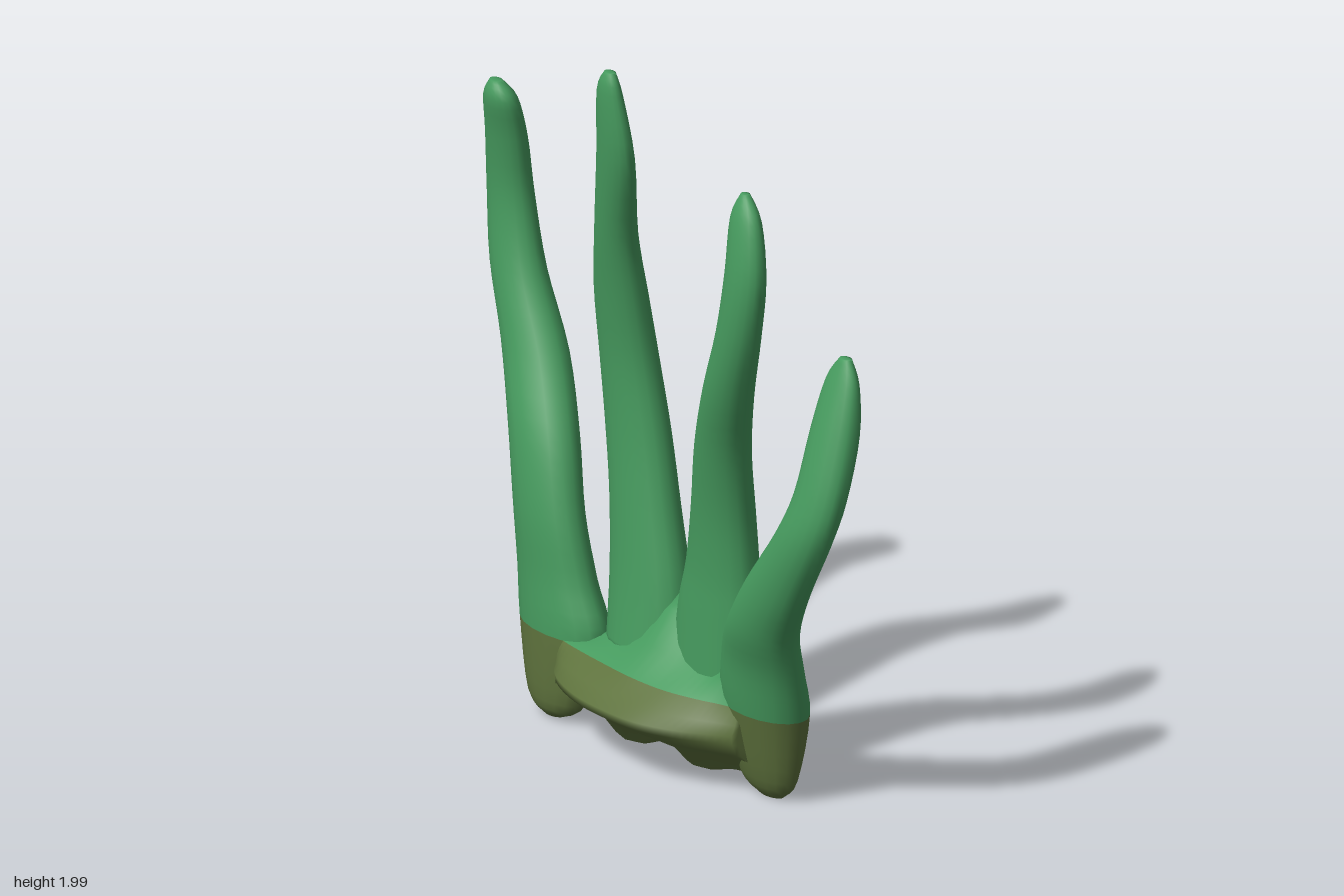
import * as THREE from 'three';

const SIDES = 18, STEPS = 4, BORDER = 0.27;

// Smooth rows between key rows (Catmull-Rom on every column)
function smoothRows(keys) {
  const rows = [], last = keys.length - 1;
  for (let i = 0; i <= last * STEPS; i++) {
    const k = Math.min(Math.floor(i / STEPS), last - 1), t = i / STEPS - k;
    const [p, a, b, n] = [keys[Math.max(k - 1, 0)], keys[k], keys[k + 1], keys[Math.min(k + 2, last)]];
    rows.push(a.map((v, c) => v + 0.5 * t * (b[c] - p[c]
      + t * (2 * p[c] - 5 * v + 4 * b[c] - n[c] + t * (3 * (v - b[c]) + n[c] - p[c])))));
  }
  return rows;
}

// Closed skin over rings of [x, y, z]; faces above the border take the second material
function skin(name, rings, materials) {
  const n = rings[0].length, points = rings.flat(), parts = [[], []];
  const face = (...ids) => {
    const y = ids.reduce((sum, id) => sum + points[id][1], 0) / ids.length;
    const part = parts[y > BORDER ? 1 : 0];
    for (let j = 1; j < ids.length - 1; j++) part.push(ids[0], ids[j], ids[j + 1]);
  };
  const first = rings[0].map((_, j) => j);
  const end = first.map((j) => points.length - 1 - j);
  face(...first);
  face(...end);
  for (let i = 0; i < rings.length - 1; i++) {
    for (let j = 0; j < n; j++) {
      const a = i * n + j, b = i * n + (j + 1) % n;
      face(a, a + n, b + n, b);
    }
  }
  const g = new THREE.BufferGeometry();
  g.setAttribute('position', new THREE.Float32BufferAttribute(points.flat(), 3));
  g.setIndex(parts.flat());
  g.addGroup(0, parts[0].length, 0);
  g.addGroup(parts[0].length, parts[1].length, 1);
  g.computeVertexNormals();
  const m = new THREE.Mesh(g, materials);
  m.name = name;
  return m;
}

// Keys are [y, xLeft, xRight, zCentre, zHalfDepth]
function tentacle(name, keys, materials) {
  const rings = smoothRows(keys).map(([y, l, r, z, d]) =>
    Array.from({ length: SIDES }, (_, j) => {
      const t = (j / SIDES) * Math.PI * 2;
      return [(l + r) / 2 + Math.cos(t) * (r - l) / 2, y, z + Math.sin(t) * d];
    }));
  return skin(name, rings, materials);
}

// Keys are [x, yBottom, yTop, zBottom, zTop, zBorderFront, zBorderBack, rimDepth]
function base(name, keys, materials) {
  const rings = smoothRows(keys).map(([x, yb, yt, zb, zt, front, back, d]) => {
    const side = (s, border) => {
      const foot = zb + s * 0.06;
      const under = s * Math.max(d * 0.72, s * zb + 0.07);
      const rim = s * Math.max(d, s * border);
      return [
        [x, yb + 0.015, zb + s * 0.035],
        [x, yb + 0.06, foot],
        [x, 0.135, under],
        [x, 0.17, rim * 0.97],
        [x, 0.195, rim],
        [x, 0.225, rim * 0.55 + border * 0.45],
        [x, BORDER, border],
        [x, BORDER + (yt - BORDER) * 0.35, zt + (border - zt) * 0.6],
        [x, BORDER + (yt - BORDER) * 0.8, zt + (border - zt) * 0.25],
      ];
    };
    return [[x, yb, zb], ...side(1, front), [x, yt, zt], ...side(-1, back).reverse()];
  });
  return skin(name, rings, materials);
}

export function createModel() {
  const green = new THREE.MeshStandardMaterial({ color: 0x469a5e });
  green.name = 'leaf green';
  const olive = new THREE.MeshStandardMaterial({ color: 0x5e723d });
  olive.name = 'olive base';
  const mats = [olive, green];
  const group = new THREE.Group();
  group.name = 'tentacles';

  group.add(tentacle('outerRightTentacle', [
    [0.015, -0.44, -0.36, 0.08, 0.025], [0.07, -0.51, -0.28, 0.075, 0.06],
    [0.27, -0.572, -0.22, 0.05, 0.09], [0.42, -0.585, -0.28, 0.05, 0.083],
    [0.6, -0.605, -0.34, 0.05, 0.08], [0.8, -0.67, -0.415, 0.018, 0.083],
    [1.0, -0.78, -0.54, -0.035, 0.08], [1.2, -0.87, -0.67, -0.056, 0.068],
    [1.4, -0.9, -0.73, -0.062, 0.056], [1.58, -0.88, -0.73, -0.04, 0.05],
    [1.7, -0.85, -0.73, -0.01, 0.042], [1.75, -0.82, -0.775, 0.0, 0.016],
  ], mats));

  group.add(tentacle('innerRightTentacle', [
    [0.27, -0.255, 0.06, -0.03, 0.105], [0.48, -0.27, 0.03, -0.045, 0.09],
    [0.7, -0.29, -0.03, -0.055, 0.08], [0.9, -0.32, -0.08, -0.06, 0.075],
    [1.1, -0.335, -0.12, -0.05, 0.07], [1.3, -0.32, -0.13, -0.02, 0.065],
    [1.5, -0.265, -0.12, 0.02, 0.055], [1.75, -0.205, -0.058, 0.065, 0.04],
    [1.94, -0.18, -0.083, 0.085, 0.028], [2.0, -0.15, -0.11, 0.085, 0.014],
  ], mats));

  group.add(tentacle('innerLeftTentacle', [
    [0.27, 0.02, 0.37, -0.05, 0.095], [0.48, 0.045, 0.365, -0.05, 0.085],
    [0.62, 0.085, 0.358, -0.05, 0.08], [0.8, 0.13, 0.36, -0.035, 0.075],
    [1.0, 0.195, 0.39, 0.0, 0.07], [1.2, 0.29, 0.46, 0.04, 0.065],
    [1.4, 0.375, 0.53, 0.06, 0.055], [1.58, 0.41, 0.56, 0.06, 0.048],
    [1.74, 0.408, 0.525, 0.045, 0.035], [1.81, 0.435, 0.465, 0.035, 0.012],
  ], mats));

  group.add(tentacle('outerLeftTentacle', [
    [0.01, 0.39, 0.49, -0.06, 0.025], [0.07, 0.31, 0.545, -0.058, 0.06],
    [0.27, 0.27, 0.598, -0.045, 0.095], [0.42, 0.31, 0.628, -0.01, 0.085],
    [0.55, 0.395, 0.67, 0.033, 0.078], [0.7, 0.51, 0.76, 0.058, 0.068],
    [0.88, 0.65, 0.86, 0.058, 0.064], [1.02, 0.71, 0.895, 0.03, 0.062],
    [1.2, 0.715, 0.888, -0.02, 0.058], [1.34, 0.73, 0.86, -0.05, 0.036],
    [1.41, 0.775, 0.82, -0.06, 0.014],
  ], mats));

  // Feet, rim and webbing that join the tentacles
  group.add(base('base', [
    [-0.4, 0.07, 0.32, 0.06, 0.04, 0.11, -0.02, 0.05],
    [-0.33, 0.08, 0.3, 0.06, 0.04, 0.12, -0.04, 0.13],
    [-0.24, 0.085, 0.295, 0.04, 0.02, 0.13, -0.1, 0.19],
    [-0.1, 0.01, 0.36, 0.02, -0.02, 0.135, -0.14, 0.228],
    [0.04, 0.05, 0.49, -0.01, -0.045, 0.135, -0.148, 0.232],
    [0.17, 0.01, 0.42, -0.02, -0.05, 0.12, -0.15, 0.215],
    [0.28, 0.035, 0.42, -0.04, -0.05, 0.085, -0.15, 0.165],
    [0.36, 0.045, 0.49, -0.05, -0.03, 0.05, -0.145, 0.105],
    [0.43, 0.05, 0.4, -0.05, -0.02, 0.03, -0.125, 0.05],
  ], mats));
  return group;
}
